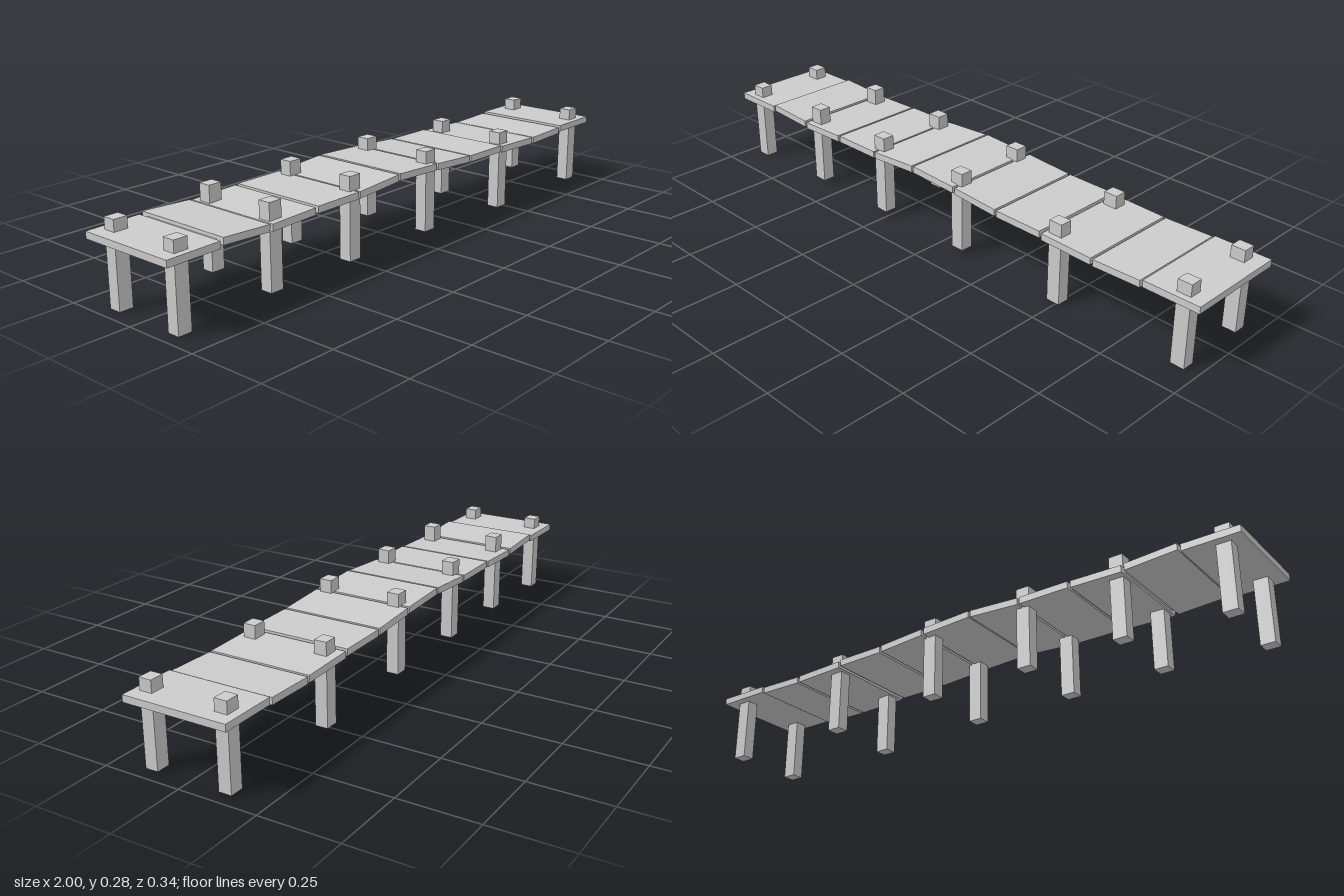
import * as THREE from 'three';

const material = new THREE.MeshStandardMaterial({ color: 0xcccccc, flatShading: true });

function addBox(parent, name, size, position, tilt = 0) {
  const mesh = new THREE.Mesh(new THREE.BoxGeometry(...size), material);
  mesh.name = name;
  mesh.position.set(...position);
  mesh.rotation.z = tilt;
  parent.add(mesh);
}

export function createModel() {
  const pier = new THREE.Group();
  pier.name = 'pier';

  // Deck planks: start x, end x, mid height at each end
  const planks = [
    [-1, -0.82, 0.219, 0.221], [-0.81, -0.641, 0.228, 0.22], [-0.631, -0.461, 0.218, 0.223],
    [-0.451, -0.279, 0.225, 0.226], [-0.272, -0.095, 0.226, 0.238], [-0.088, 0.09, 0.239, 0.232],
    [0.099, 0.266, 0.231, 0.221], [0.274, 0.445, 0.22, 0.219], [0.453, 0.635, 0.215, 0.21],
    [0.643, 0.806, 0.209, 0.213], [0.815, 1, 0.218, 0.218],
  ];
  const deck = new THREE.Group();
  deck.name = 'deck';
  pier.add(deck);
  planks.forEach(([x0, x1, y0, y1], i) => {
    const length = Math.hypot(x1 - x0, y1 - y0);
    addBox(deck, 'plank', [length, 0.022, 0.336], [(x0 + x1) / 2, (y0 + y1) / 2, 0.001],
      Math.atan2(y1 - y0, x1 - x0));
    // Recessed narrow strip closing the gap to the next plank
    if (i < planks.length - 1) {
      const next = planks[i + 1];
      addBox(deck, 'joint', [next[0] - x1 + 0.006, 0.008, 0.285],
        [(x1 + next[0]) / 2, (y1 + next[2]) / 2, 0.001]);
    }
  });

  // Pairs of square posts: x, bottom height
  const posts = [[-0.935, 0], [-0.6, 0.017], [-0.273, 0.017], [0.086, 0.017], [0.487, 0], [0.933, 0]];
  for (const [x, bottom] of posts) {
    for (const z of [0.1275, -0.1185]) {
      addBox(pier, 'post', [0.046, 0.267, 0.041], [x, bottom + 0.1335, z]);
    }
  }
  return pier;
}
